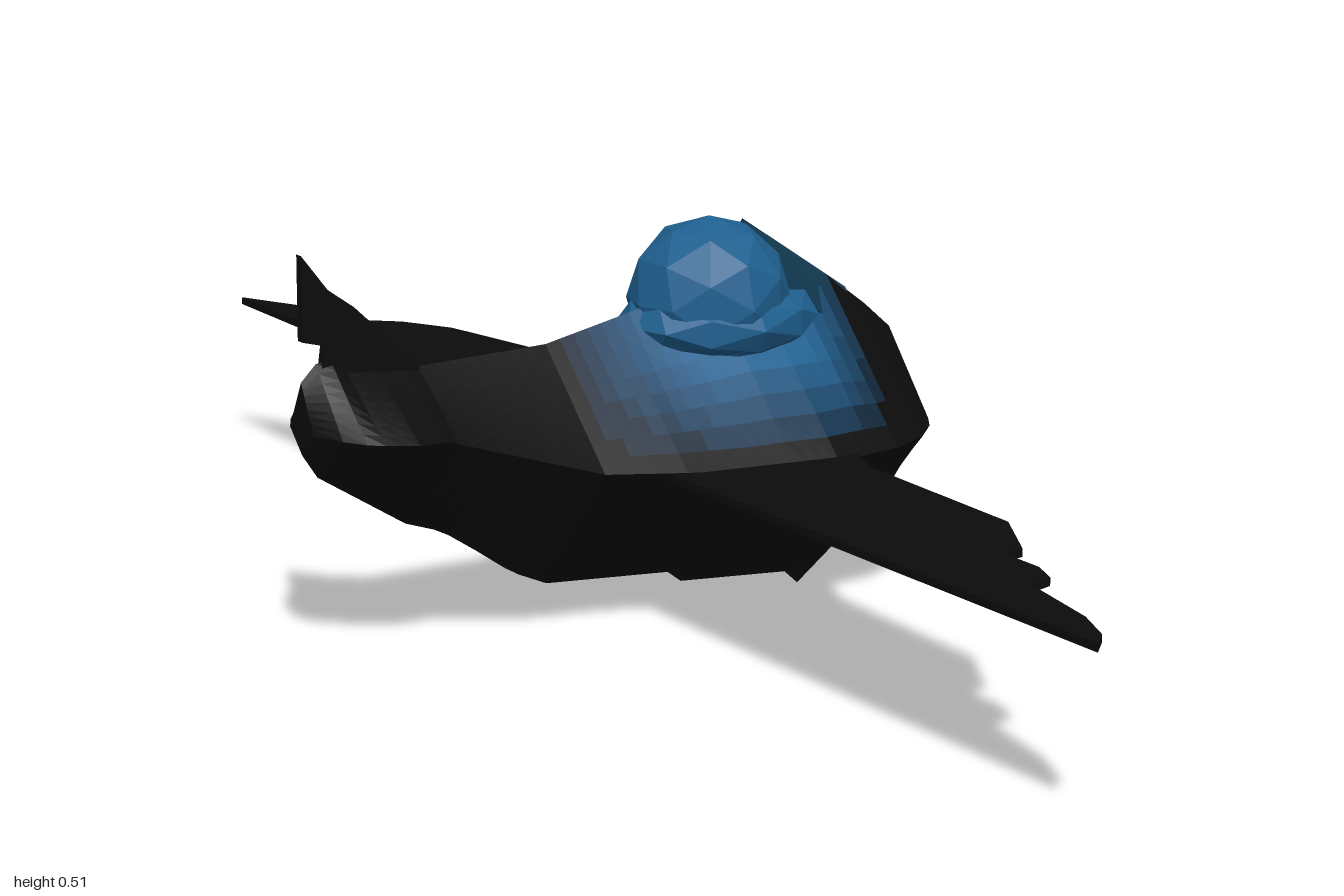
import * as THREE from 'three';

const BLACK = 0x0c0c0c, BLUE = 0x1f6090;
const paint = (color, side = THREE.FrontSide) =>
  new THREE.MeshStandardMaterial({ color, flatShading: true, side });

function add(parent, name, geometry, material) {
  const mesh = new THREE.Mesh(geometry, material);
  mesh.name = name;
  parent.add(mesh);
  return mesh;
}

// Read a value off a list of [x, value] points
function sample(points, x) {
  for (let i = 1; i < points.length; i++) {
    const [x0, v0] = points[i - 1], [x1, v1] = points[i];
    if (x <= x1) return v0 + (v1 - v0) * Math.max(0, (x - x0) / (x1 - x0));
  }
  return points[points.length - 1][1];
}

// Hull outlines along its length: ridge, keel, side crease height, half width
const RIDGE = [[-0.44, 0.36], [-0.41, 0.39], [-0.38, 0.37], [-0.28, 0.36], [-0.1, 0.365], [0.02, 0.39],
  [0.14, 0.42], [0.26, 0.42], [0.32, 0.405], [0.36, 0.375], [0.38, 0.36], [0.42, 0.325], [0.44, 0.24]];
const KEEL = [[-0.44, 0.27], [-0.42, 0.24], [-0.38, 0.215], [-0.3, 0.165], [-0.25, 0.148], [-0.2, 0.115],
  [-0.15, 0.08], [-0.1, 0.058], [0.08, 0.045], [0.1, 0.03], [0.26, 0.018], [0.28, 0], [0.32, 0.03],
  [0.36, 0.06], [0.42, 0.105], [0.435, 0.16], [0.44, 0.2]];
const CREASE = [[-0.44, 0.3], [-0.3, 0.29], [-0.1, 0.23], [0.1, 0.22], [0.44, 0.22]];
const HALF = [[-0.44, 0.03], [-0.41, 0.085], [-0.38, 0.1], [-0.34, 0.112], [-0.28, 0.1], [-0.1, 0.14],
  [0, 0.17], [0.1, 0.19], [0.2, 0.205], [0.3, 0.19], [0.36, 0.16], [0.41, 0.11], [0.44, 0.05]];

// Diamond-section hull, its panels sorted into tones that fade around the canopy
function makeHull() {
  const hull = new THREE.Group();
  hull.name = 'hull';
  const TONES = 9, STEPS = 44, SUB = 8;
  const panels = Array.from({ length: TONES }, () => []);
  const point = (i, j) => {
    const x = -0.44 + 0.88 * i / STEPS;
    const w = sample(HALF, x), mid = sample(CREASE, x);
    const corners = [[sample(RIDGE, x), 0], [mid, w], [sample(KEEL, x), 0], [mid, -w]];
    const side = Math.floor(j / SUB) % 4, t = (j % SUB) / SUB;
    const [y0, z0] = corners[side], [y1, z1] = corners[(side + 1) % 4];
    return [x, y0 + (y1 - y0) * t, z0 + (z1 - z0) * t];
  };
  const quad = (list, a, b, c, d) => list.push(...a, ...b, ...c, ...a, ...c, ...d);

  for (let i = 0; i < STEPS; i++) {
    for (let j = 0; j < 4 * SUB; j++) {
      const a = point(i, j), b = point(i + 1, j), c = point(i + 1, j + 1), d = point(i, j + 1);
      const x = (a[0] + c[0]) / 2, y = (a[1] + c[1]) / 2;
      const up = THREE.MathUtils.clamp((y - 0.23) / 0.1, 0, 1);
      const along = sample([[-0.1, 0], [0.08, 1], [0.24, 1], [0.33, 0]], x);
      quad(panels[Math.round(up * along * (TONES - 1))], a, d, c, b);
    }
  }
  // End caps
  const ring = (i) => [0, 1, 2, 3].map((k) => point(i, k * SUB));
  quad(panels[0], ...ring(STEPS));
  quad(panels[0], ...ring(0).reverse());

  panels.forEach((list, k) => {
    if (!list.length) return;
    const g = new THREE.BufferGeometry();
    g.setAttribute('position', new THREE.Float32BufferAttribute(list, 3));
    g.computeVertexNormals();
    const tone = new THREE.Color(BLACK).lerp(new THREE.Color(BLUE), k / (TONES - 1));
    add(hull, k ? `hullBlueFade${k}` : 'hullSkin', g, paint(tone));
  });
  return hull;
}

// Thin plate cut from an outline, centred on its thickness
function plate(outline, depth) {
  const shape = new THREE.Shape(outline.map(([x, y]) => new THREE.Vector2(x, y)));
  return new THREE.ExtrudeGeometry(shape, { depth, bevelEnabled: false }).translate(0, 0, -depth / 2);
}

export function createModel() {
  const model = new THREE.Group();
  model.name = 'aircraft';
  model.add(makeHull());

  // Wings: straight edge on one side, ragged tapering edge on the other
  const wings = {
    leftWing: [[-0.02, 0.1], [-0.01, 0.985], [0.015, 0.96], [0.04, 0.9], [0.065, 0.77], [0.1, 0.76],
      [0.115, 0.72], [0.115, 0.655], [0.145, 0.65], [0.2, 0.55], [0.208, 0.26], [0.24, 0.18], [0.24, 0.1]],
    rightWing: [[-0.02, -0.1], [-0.01, -1], [0.04, -0.9], [0.065, -0.78], [0.11, -0.74], [0.15, -0.67],
      [0.18, -0.52], [0.205, -0.38], [0.21, -0.24], [0.24, -0.18], [0.24, -0.1]],
  };
  for (const [name, outline] of Object.entries(wings)) {
    const wing = add(model, name, plate(outline, 0.01), paint(BLACK));
    wing.rotation.x = Math.PI / 2;
    wing.position.y = 0.219;
  }

  // Upright tail fin
  const fin = [[-0.44, 0.515], [-0.405, 0.47], [-0.37, 0.445], [-0.28, 0.36], [-0.3, 0.33],
    [-0.42, 0.33], [-0.41, 0.402], [-0.44, 0.41]];
  add(model, 'tailFin', plate(fin, 0.012), paint(BLACK));

  // Faceted bubble canopy with its lens-shaped skirt
  add(model, 'canopyDome', new THREE.IcosahedronGeometry(0.104, 1), paint(BLUE)).position.set(0.14, 0.397, 0);
  const skirt = add(model, 'canopySkirt', new THREE.IcosahedronGeometry(1, 1), paint(BLUE));
  skirt.scale.set(0.135, 0.055, 0.108);
  skirt.position.set(0.155, 0.37, 0);

  // Ridge running down from the dome to the nose
  const ridge = new THREE.CylinderGeometry(0.3, 1, 1, 4, 1);
  const pos = ridge.attributes.position;
  for (let i = 0; i < pos.count; i++) {
    const nose = pos.getY(i) > 0;
    const a = pos.getX(i), b = pos.getZ(i);
    const r = nose ? 0.3 : 1;
    pos.setXYZ(i, nose ? 0.35 : 0.19,
      (nose ? 0.345 : 0.4) - (a / r) * (nose ? 0.04 : 0.092), (b / r) * (nose ? 0.025 : 0.075));
  }
  ridge.computeVertexNormals();
  add(model, 'canopyFairing', ridge, paint(0x123850, THREE.DoubleSide));

  return model;
}
